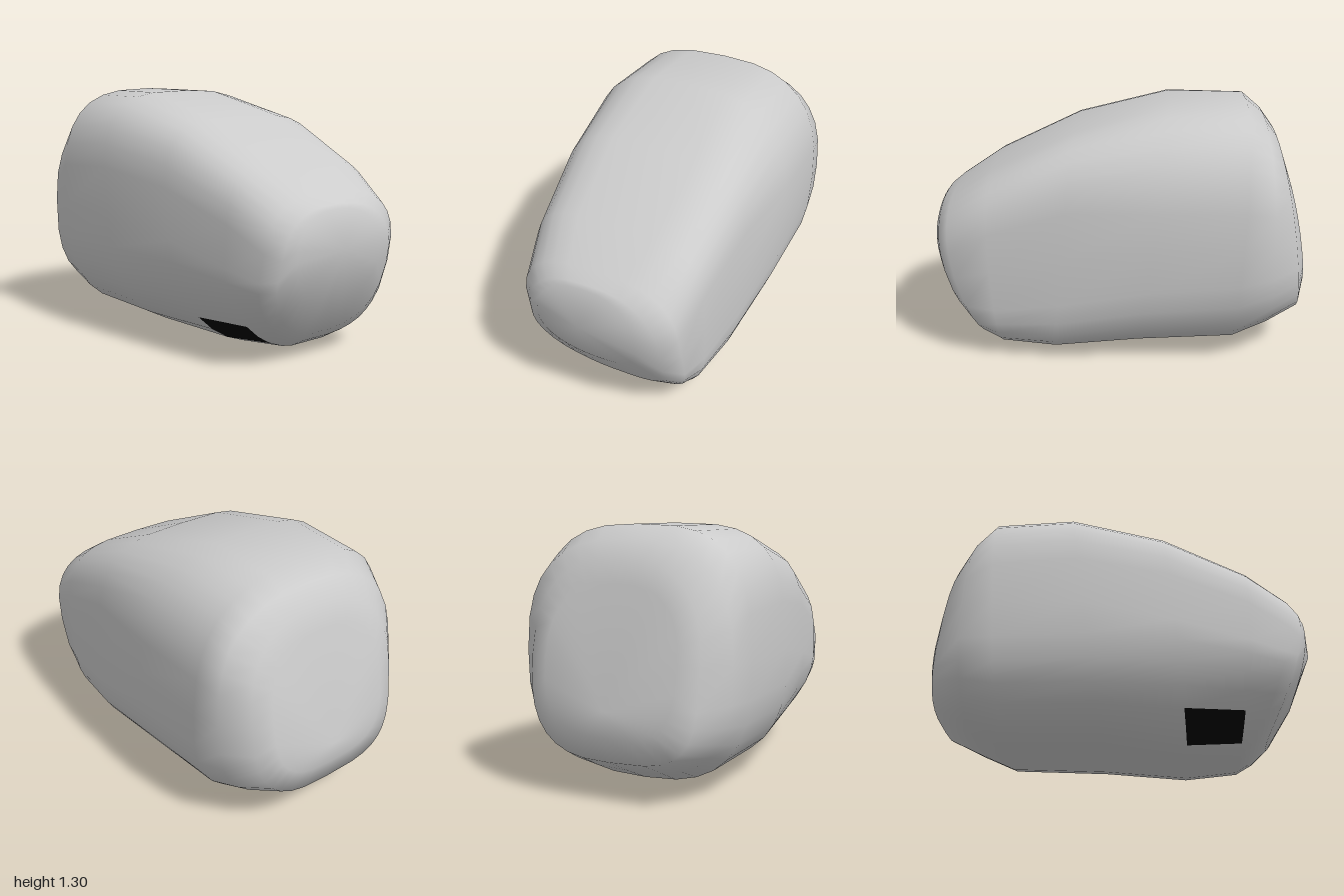
import * as THREE from 'three';

const SIDES = 32;

// Slanted rings along the boulder:
// [bottom x, bottom y, top x, top y, half width, centre z, x bulge at mid height,
//  squareness of the top front, top back, bottom front and bottom back quarters]
const RINGS = [
  [-0.98, 0.32, -0.85, 1.03, 0.35, 0, -0.02, 2.4, 2.6, 3.2, 2.8],
  [-0.95, 0.2, -0.815, 1.14, 0.45, 0, -0.02, 2.4, 2.6, 3.8, 2.8],
  [-0.78, 0.12, -0.75, 1.23, 0.56, 0, -0.02, 2.5, 2.7, 3, 2.7],
  [-0.6, 0.04, -0.66, 1.3, 0.585, 0, 0, 3.1, 2.7, 2.7, 2.8],
  [-0.1, 0.03, -0.26, 1.3, 0.585, 0, 0, 3.5, 2.7, 2.5, 3.2],
  [0.33, 0, 0.22, 1.18, 0.53, -0.015, 0, 4, 3.8, 1.9, 3.8],
  [0.6, 0.03, 0.65, 0.98, 0.475, -0.03, 0.02, 4, 3.8, 1.7, 4],
  [0.67, 0.07, 0.86, 0.85, 0.43, -0.04, 0.065, 3.2, 3, 1.65, 3.6],
  [0.75, 0.13, 0.92, 0.805, 0.36, -0.03, 0.06, 2.8, 2.5, 1.8, 3],
  [0.89, 0.33, 0.935, 0.785, 0.27, -0.01, 0.035, 2.4, 2.3, 2, 2.6],
];

const rounded = (v, squareness) => Math.sign(v) * Math.abs(v) ** (2 / squareness);

export function createModel() {
  const group = new THREE.Group();
  const positions = [];
  const rockIndex = [];
  const patchIndex = [];

  for (const [xb, yb, xt, yt, w, zc, bulge, ...quarters] of RINGS) {
    for (let j = 0; j < SIDES; j++) {
      const a = (j / SIDES) * Math.PI * 2;
      const up = -Math.cos(a);
      const out = Math.sin(a);
      const squareness = quarters[(up < 0 ? 2 : 0) + (out < 0 ? 1 : 0)];
      const v = rounded(up, squareness);
      const x = THREE.MathUtils.lerp(xb, xt, (v + 1) / 2) + bulge * (1 - v * v);
      positions.push(x, (yb + yt) / 2 + (v * (yt - yb)) / 2, zc + w * rounded(out, squareness));
    }
  }
  const leftPole = positions.length / 3;
  positions.push(-1, 0.45, 0, 1, 0.6, 0);

  // Skin between rings, with a dark patch low on the front
  const last = RINGS.length - 1;
  for (let j = 0; j < SIDES; j++) {
    const k = (j + 1) % SIDES;
    for (let i = 0; i < last; i++) {
      const p = i * SIDES;
      const q = p + SIDES;
      const target = i === 5 && (j === 2 || j === 3) ? patchIndex : rockIndex;
      target.push(p + j, q + j, q + k, p + j, q + k, p + k);
    }
    // End caps
    rockIndex.push(leftPole, j, k);
    rockIndex.push(last * SIDES + j, leftPole + 1, last * SIDES + k);
  }

  // Smooth normals are computed over the whole skin, then shared by both parts
  const whole = new THREE.BufferGeometry();
  whole.setAttribute('position', new THREE.Float32BufferAttribute(positions, 3));
  whole.setIndex([...rockIndex, ...patchIndex]);
  whole.computeVertexNormals();

  const addPart = (name, index, color) => {
    const geometry = whole.clone().setIndex(index);
    const mesh = new THREE.Mesh(geometry, new THREE.MeshStandardMaterial({ color }));
    mesh.name = name;
    group.add(mesh);
  };
  addPart('boulder', rockIndex, 0xcccccc);
  addPart('darkPatch', patchIndex, 0x000000);

  return group;
}
